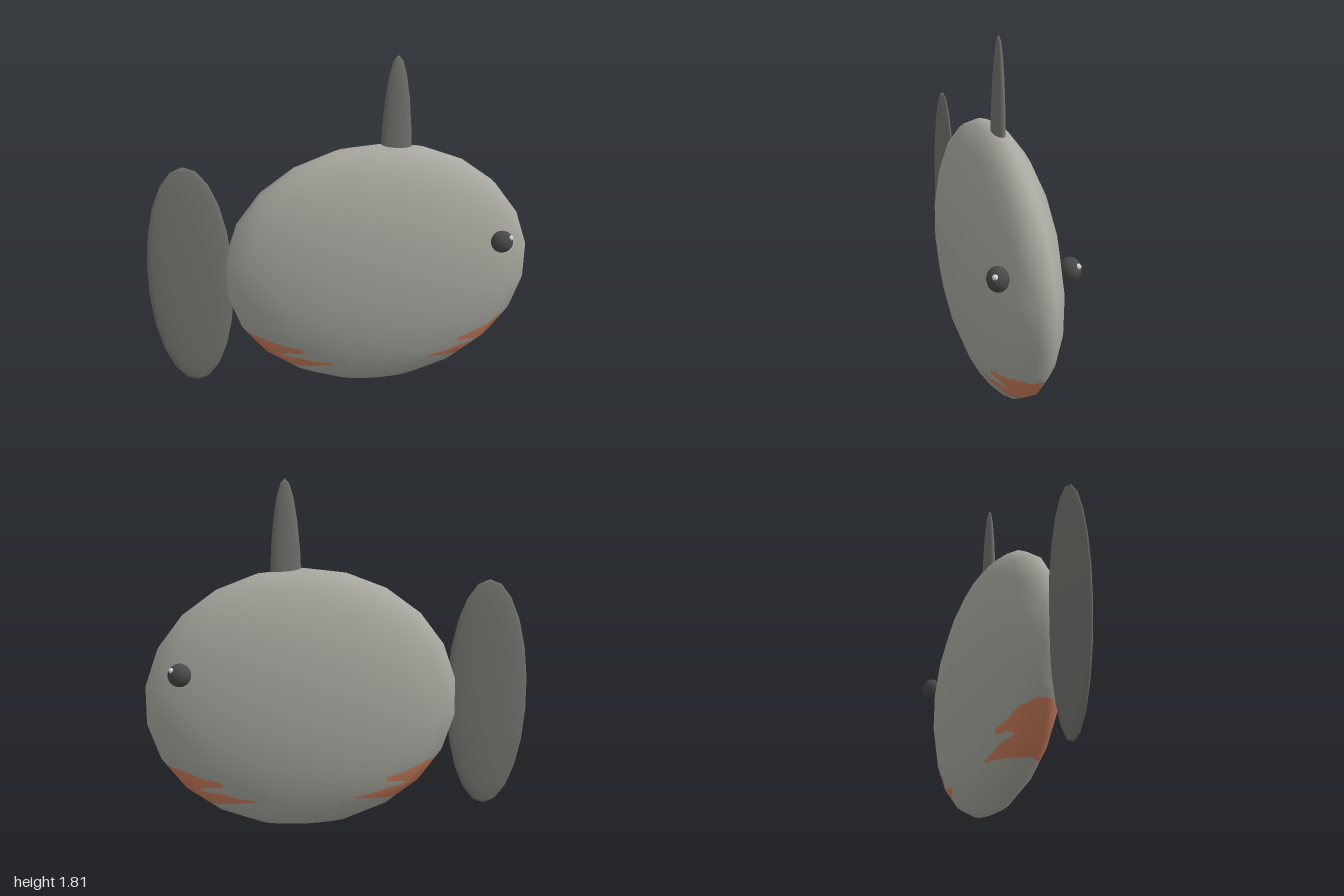
import * as THREE from 'three';

const mat = (name, color) => {
  const m = new THREE.MeshStandardMaterial({ color });
  m.name = name;
  return m;
};

// Low-sided smooth ellipsoid with its poles on the y axis
function ellipsoid(rx, ry, rz, x, y, z) {
  const g = new THREE.SphereGeometry(1, 18, 11, Math.PI / 2);
  g.scale(rx, ry, rz);
  g.translate(x, y, z);
  return g;
}

// Ragged inner edge of the belly markings: [height, distance from body centre]
const EDGE = [
  [0.15, 0.5], [0.171, 0.34], [0.182, 0.235], [0.203, 0.35], [0.225, 0.43], [0.24, 0.54],
  [0.257, 0.52], [0.267, 0.42], [0.294, 0.43], [0.31, 0.52], [0.348, 0.62], [0.365, 0.7],
];
const BODY_X = 0.2;

function isMarked(p) {
  for (let i = 1; i < EDGE.length; i++) {
    const [y0, d0] = EDGE[i - 1], [y1, d1] = EDGE[i];
    if (p.y >= y0 && p.y < y1) {
      return Math.abs(p.x - BODY_X) > THREE.MathUtils.mapLinear(p.y, y0, y1, d0, d1);
    }
  }
  return false;
}

// Splits the facets near the markings finely and sorts them into two colour groups
function paintedBody(source) {
  const g = source.toNonIndexed();
  const P = g.attributes.position, N = g.attributes.normal;
  const lists = [{ p: [], n: [] }, { p: [], n: [] }];
  const read = (attr, i) => [0, 1, 2].map(k => new THREE.Vector3().fromBufferAttribute(attr, i + k));
  const mix = (v, a, b) => new THREE.Vector3()
    .addScaledVector(v[0], 1 - a - b).addScaledVector(v[1], a).addScaledVector(v[2], b);

  for (let i = 0; i < P.count; i += 3) {
    const p = read(P, i), n = read(N, i);
    const ys = p.map(v => v.y);
    const reach = Math.max(...p.map(v => Math.abs(v.x - BODY_X)));
    const near = Math.min(...ys) < 0.37 && Math.max(...ys) > 0.14 && reach > 0.22;
    const steps = near ? 22 : 1;
    const add = (...corners) => {
      const pts = corners.map(([a, b]) => mix(p, a / steps, b / steps));
      const centre = pts[0].clone().add(pts[1]).add(pts[2]).divideScalar(3);
      const list = lists[near && isMarked(centre) ? 1 : 0];
      corners.forEach(([a, b], k) => {
        list.p.push(...pts[k].toArray());
        list.n.push(...mix(n, a / steps, b / steps).normalize().toArray());
      });
    };
    for (let a = 0; a < steps; a++) {
      for (let b = 0; a + b < steps; b++) {
        add([a, b], [a + 1, b], [a, b + 1]);
        if (a + b < steps - 1) add([a + 1, b], [a + 1, b + 1], [a, b + 1]);
      }
    }
  }

  const out = new THREE.BufferGeometry();
  out.setAttribute('position', new THREE.Float32BufferAttribute(lists[0].p.concat(lists[1].p), 3));
  out.setAttribute('normal', new THREE.Float32BufferAttribute(lists[0].n.concat(lists[1].n), 3));
  const first = lists[0].p.length / 3;
  out.addGroup(0, first, 0);
  out.addGroup(first, lists[1].p.length / 3, 1);
  return out;
}

export function createModel() {
  const skin = mat('grey skin', 0xa8a8a0);
  const fin = mat('dark fin', 0x70706c);
  const marking = mat('orange marking', 0xcc7e5c);
  const eyeDark = mat('dark eye', 0x484848);
  const glint = mat('eye glint', 0xd8d8d8);

  const model = new THREE.Group();
  const add = (name, geometry, material) => {
    const mesh = new THREE.Mesh(geometry, material);
    mesh.name = name;
    model.add(mesh);
  };

  // Flat round body with belly markings
  add('body', paintedBody(ellipsoid(0.82, 0.685, 0.226, BODY_X, 0.688, 0)), [skin, marking]);

  // Fins
  add('tailFin', ellipsoid(0.221, 0.612, 0.03, -0.784, 0.692, 0), fin);
  add('dorsalFin', ellipsoid(0.082, 0.612, 0.03, 0.283, 1.205, 0), fin);

  // Eyes with small highlights
  for (const [side, s] of [['left', -1], ['right', 1]]) {
    add(side + 'Eye', ellipsoid(0.058, 0.058, 0.05, 0.82, 0.865, s * 0.167), eyeDark);
    add(side + 'EyeGlint', new THREE.SphereGeometry(0.014, 10, 8)
      .translate(0.856, 0.893, s * 0.19), glint);
  }
  return model;
}
